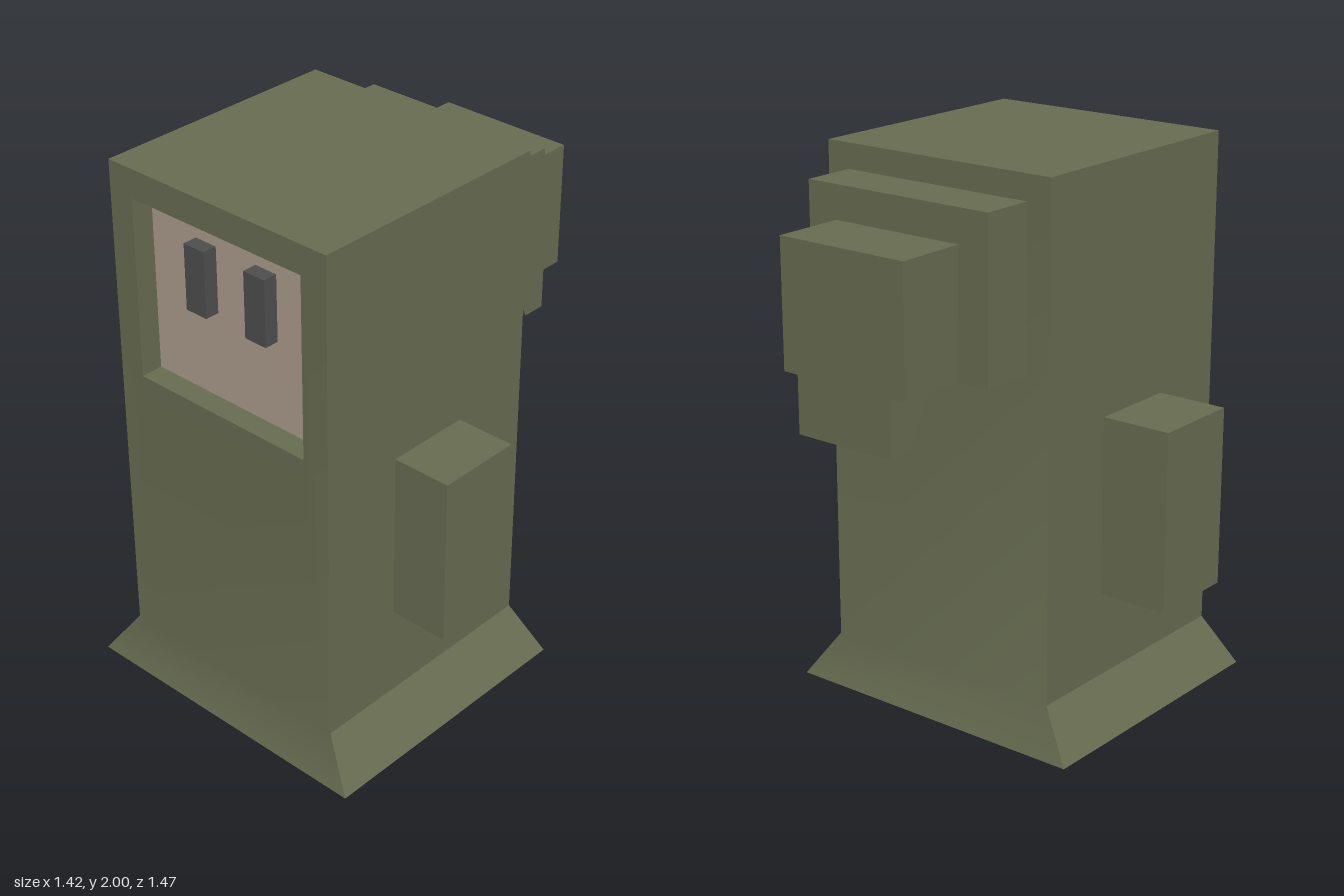
import * as THREE from 'three';
import { mergeGeometries, toCreasedNormals } from 'three/addons/utils/BufferGeometryUtils.js';

const paint = (color) => new THREE.MeshStandardMaterial({ color });

// Box given by its min and max on each axis
function block([x0, x1], [y0, y1], [z0, z1]) {
  return new THREE.BoxGeometry(x1 - x0, y1 - y0, z1 - z0)
    .translate((x0 + x1) / 2, (y0 + y1) / 2, (z0 + z1) / 2);
}

// Moves every vertex of a geometry by a rule
function reshape(geometry, rule) {
  const p = geometry.attributes.position;
  const v = new THREE.Vector3();
  for (let i = 0; i < p.count; i++) {
    rule(v.fromBufferAttribute(p, i));
    p.setXYZ(i, v.x, v.y, v.z);
  }
  geometry.computeVertexNormals();
  return geometry;
}

function rectangle(Type, [x0, x1], [y0, y1]) {
  return new Type([[x0, y0], [x1, y0], [x1, y1], [x0, y1]].map(([x, y]) => new THREE.Vector2(x, y)));
}

export function createModel() {
  const model = new THREE.Group();
  model.name = 'figure';
  const green = paint(0x666b50);
  const add = (name, geometry, material = green) => {
    const mesh = new THREE.Mesh(geometry, material);
    mesh.name = name;
    model.add(mesh);
  };

  const bodyX = [-0.455, 0.49], bodyY = [0.175, 2], bodyZ = [-0.275, 0.675];
  const faceX = [-0.355, 0.385], faceY = [1.235, 1.895], faceZ = 0.59;

  // Body: solid core, front frame around the face opening, and flared hem
  const core = block(bodyX, bodyY, [bodyZ[0], faceZ]);
  const outline = rectangle(THREE.Shape, bodyX, bodyY);
  outline.holes.push(rectangle(THREE.Path, faceX, faceY));
  const frame = new THREE.ExtrudeGeometry(outline, { depth: bodyZ[1] - faceZ, bevelEnabled: false })
    .translate(0, 0, faceZ);
  const hem = reshape(block(bodyX, [0, bodyY[0]], bodyZ), (v) => {
    if (v.y > 0.1) return;
    v.x += v.x > 0 ? 0.123 : -0.122;
    v.z += v.z > 0 ? 0.06 : -0.06;
  });
  const body = mergeGeometries([core, frame, hem].map((g) => (g.index ? g.toNonIndexed() : g)));
  add('body', toCreasedNormals(body, 0.45));

  // Recessed face and eyes
  add('face', block(faceX, faceY, [faceZ - 0.01, faceZ + 0.002]), paint(0xa99b8a));
  const eyePaint = paint(0x4d4d4d);
  add('rightEye', block([-0.155, -0.065], [1.555, 1.795], [faceZ, 0.645]), eyePaint);
  add('leftEye', block([0.11, 0.2], [1.555, 1.795], [faceZ, 0.645]), eyePaint);

  // Stubby arms
  add('leftArm', block([0.49, 0.71], [0.51, 1.13], [0.04, 0.36]));
  add('rightArm', block([-0.715, -0.455], [0.485, 1.13], [0.03, 0.365]));

  // Stepped bundle at the back of the head, with a tapering tail below
  add('backBundleInner', block([-0.36, 0.4], [1.335, 1.91], [-0.47, -0.275]));
  add('backBundleOuter', block([-0.24, 0.28], [1.335, 1.79], [-0.735, -0.47]));
  add('backTail', reshape(block([-0.18, 0.22], [1.13, 1.335], [-0.735, -0.54]), (v) => {
    if (v.y < 1.2 && v.z > -0.6) v.z = -0.645;
  }));

  return model;
}
